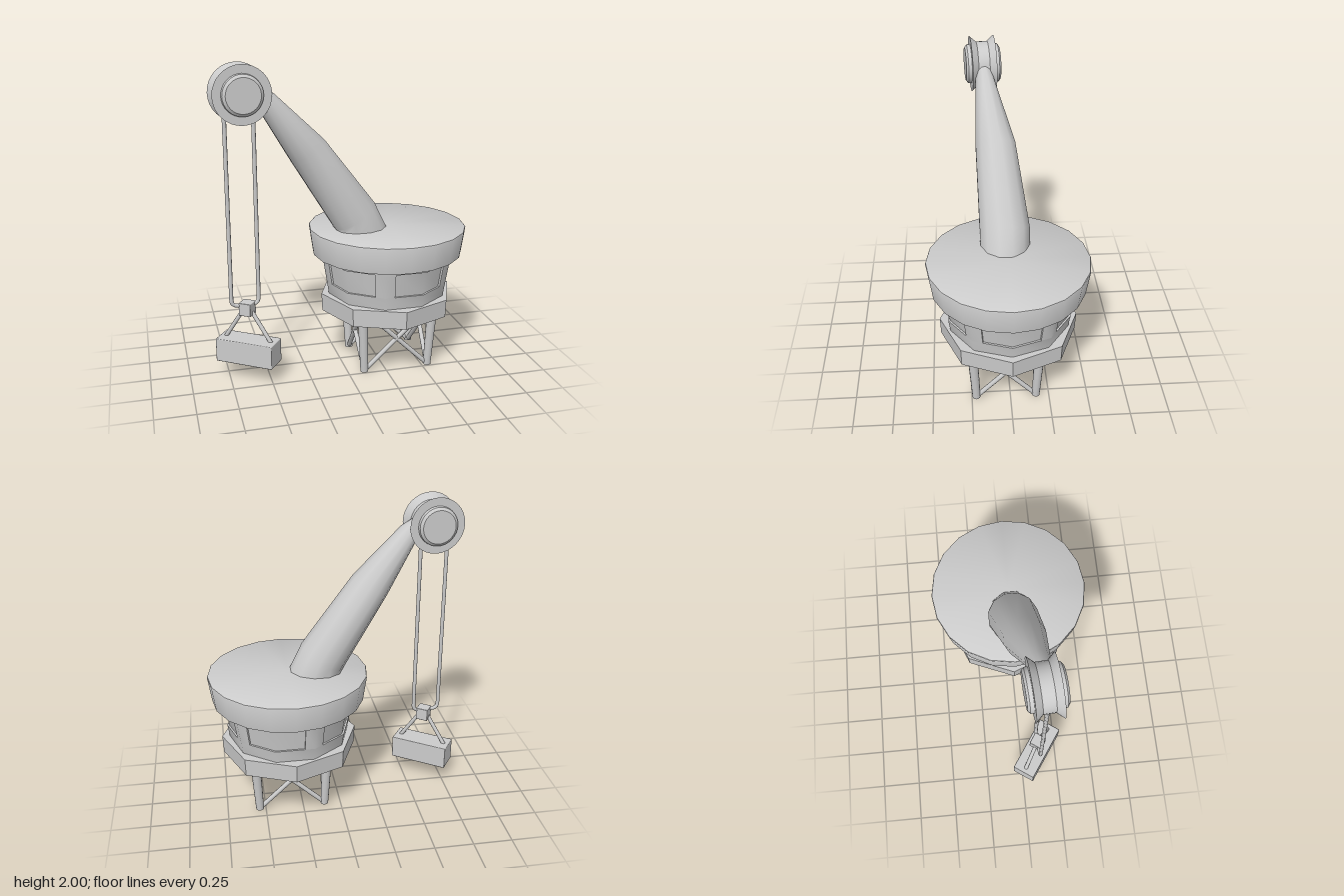
import * as THREE from 'three';
import { toCreasedNormals } from 'three/addons/utils/BufferGeometryUtils.js';
import { RoundedBoxGeometry } from 'three/addons/geometries/RoundedBoxGeometry.js';

const material = new THREE.MeshStandardMaterial({ color: 0xcccccc });
const V = (x, y, z) => new THREE.Vector3(x, y, z);

function part(parent, name, geometry, x = 0, y = 0, z = 0) {
  const mesh = new THREE.Mesh(geometry, material);
  mesh.name = name;
  mesh.position.set(x, y, z);
  parent.add(mesh);
  return mesh;
}

const lathe = (points, sides) =>
  toCreasedNormals(new THREE.LatheGeometry(points.map(p => new THREE.Vector2(...p)), sides), 0.6);

// Round bar between two points
function bar(parent, name, a, b, rA, rB = rA) {
  const mesh = part(parent, name, new THREE.CylinderGeometry(rB, rA, a.distanceTo(b), 12));
  mesh.position.copy(a).lerp(b, 0.5);
  mesh.quaternion.setFromUnitVectors(V(0, 1, 0), b.clone().sub(a).normalize());
}

// Unit outline extruded from y0 to y1, widening with height like the cabin wall
function wall(points, y0, y1) {
  const shape = new THREE.Shape(points.map(p => new THREE.Vector2(...p)));
  const geo = new THREE.ExtrudeGeometry(shape, { depth: y1 - y0, bevelEnabled: false });
  geo.rotateX(-Math.PI / 2).translate(0, y0, 0);
  const pos = geo.attributes.position;
  for (let i = 0; i < pos.count; i++) {
    const y = pos.getY(i), r = 0.39 + (y - 0.48) * 0.16;
    pos.setXYZ(i, pos.getX(i) * r, y, pos.getZ(i) * r);
  }
  return toCreasedNormals(geo, 0.75);
}

// Smooth tapering loft: each section is [x, y, z, half height, half width, tilt]
function loft(sections, sides) {
  const pos = [], index = [], grow = 1 / Math.cos(Math.PI / sides);
  for (const [x, y, z, h, w, tilt] of sections)
    for (let i = 0; i < sides; i++) {
      const a = ((i + 0.5) / sides) * Math.PI * 2, u = Math.cos(a) * h * grow;
      pos.push(x + u * Math.cos(tilt), y + u * Math.sin(tilt), z - Math.sin(a) * w * grow);
    }
  for (let s = 0; s < sections.length - 1; s++)
    for (let i = 0; i < sides; i++) {
      const a = s * sides + i, b = s * sides + (i + 1) % sides;
      index.push(a, b, b + sides, a, b + sides, a + sides);
    }
  const geo = new THREE.BufferGeometry();
  geo.setAttribute('position', new THREE.Float32BufferAttribute(pos, 3));
  geo.setIndex(index);
  geo.computeVertexNormals();
  return geo;
}

export function createModel() {
  const model = new THREE.Group();
  model.name = 'craneTower';

  // Cabin: octagonal base, ten-sided wall with five shallow windows, wide roof
  const cabin = new THREE.Group();
  cabin.name = 'cabin';
  cabin.position.x = 0.315;
  model.add(cabin);
  const base = new THREE.CylinderGeometry(0.44, 0.435, 0.117, 8).toNonIndexed();
  base.computeVertexNormals();
  part(cabin, 'cabinBase', base, 0, 0.4225, 0);

  const plain = [], windowed = [];
  for (let k = 0; k < 10; k++) plain.push([Math.cos(k * Math.PI / 5), Math.sin(k * Math.PI / 5)]);
  for (let k = 0; k < 5; k++) {
    const a = k * Math.PI * 0.4, c = Math.cos(a), s = Math.sin(a);
    const corners = [[0.858, -0.437], [0.83, -0.427], [0.968, 0], [0.83, 0.427], [0.858, 0.437], [0.809, 0.588]];
    for (const [x, y] of corners) windowed.push([x * c - y * s, x * s + y * c]);
  }
  part(cabin, 'lowerWall', wall(plain, 0.475, 0.564));
  part(cabin, 'windowWall', wall(windowed, 0.564, 0.72));
  part(cabin, 'upperWall', wall(plain, 0.72, 0.765));
  part(cabin, 'roof', lathe([[0, 0.754], [0.488, 0.754], [0.511, 0.915], [0.508, 0.923], [0.502, 0.927], [0, 0.927]], 20));

  // Four legs with crossed braces on every side
  const stand = new THREE.Group();
  stand.name = 'stand';
  stand.position.set(0.323, 0, 0.028);
  model.add(stand);
  for (const i of [-1, 1])
    for (const j of [-1, 1]) {
      bar(stand, 'leg', V(i * 0.216, 0.002, j * 0.193), V(i * 0.234, 0.37, j * 0.211), 0.026, 0.032);
      bar(stand, 'braceAcross', V(i * 0.206, 0.015, j * 0.193), V(-i * 0.16, 0.37, j * 0.21), 0.015);
      bar(stand, 'braceAlong', V(i * 0.216, 0.015, j * 0.183), V(i * 0.234, 0.37, -j * 0.14), 0.015);
    }

  // Boom
  part(model, 'boom', loft([
    [0.127, 0.88, 0.01, 0.19, 0.155, 0],
    [0.088, 1.01, 0.01, 0.15, 0.157, 0.59],
    [-0.222, 1.458, 0.05, 0.121, 0.125, 0.55],
    [-0.472, 1.765, 0.1, 0.067, 0.06, 0.85],
    [-0.56, 1.845, 0.108, 0.04, 0.04, 0.85],
  ], 12));

  // Pulley wheel with the cable loop in its plane
  const pulley = new THREE.Group();
  pulley.name = 'pulley';
  pulley.position.set(-0.632, 1.823, 0.11);
  pulley.rotation.y = 0.075;
  model.add(pulley);
  const half = [[0, 0.112], [0.105, 0.112], [0.122, 0.099], [0.125, 0.077], [0.177, 0.077], [0.14, 0.036]];
  const wheel = lathe([...half.map(([r, y]) => [r, -y]), ...half.slice().reverse()], 32);
  part(pulley, 'pulleyWheel', wheel.rotateX(Math.PI / 2));

  const cable = new THREE.CurvePath(), bottom = -1.32, w = 0.087, r = 0.04;
  const line = (a, b) => cable.add(new THREE.LineCurve3(a, b));
  const bend = (a, b, c) => cable.add(new THREE.QuadraticBezierCurve3(a, b, c));
  line(V(-w, -0.05, 0), V(-w, bottom + r, 0));
  bend(V(-w, bottom + r, 0), V(-w, bottom, 0), V(-w + r, bottom, 0));
  line(V(-w + r, bottom, 0), V(w - r, bottom, 0));
  bend(V(w - r, bottom, 0), V(w, bottom, 0), V(w, bottom + r, 0));
  line(V(w, bottom + r, 0), V(w, -0.05, 0));
  part(pulley, 'cable', new THREE.TubeGeometry(cable, 160, 0.013, 8), -0.01);

  // Hanging load: hook block, two struts and a crate
  const load = new THREE.Group();
  load.name = 'load';
  load.position.set(-0.63, 0, 0.11);
  load.rotation.y = -0.6;
  model.add(load);
  part(load, 'hookBlock', new RoundedBoxGeometry(0.082, 0.085, 0.082, 1, 0.005), 0, 0.478, 0);
  for (const i of [-1, 1])
    bar(load, 'strut', V(i * 0.16, 0.26, 0), V(i * 0.03, 0.46, 0), 0.013);
  part(load, 'crate', new RoundedBoxGeometry(0.388, 0.154, 0.154, 1, 0.006), 0, 0.193, 0);

  return model;
}
